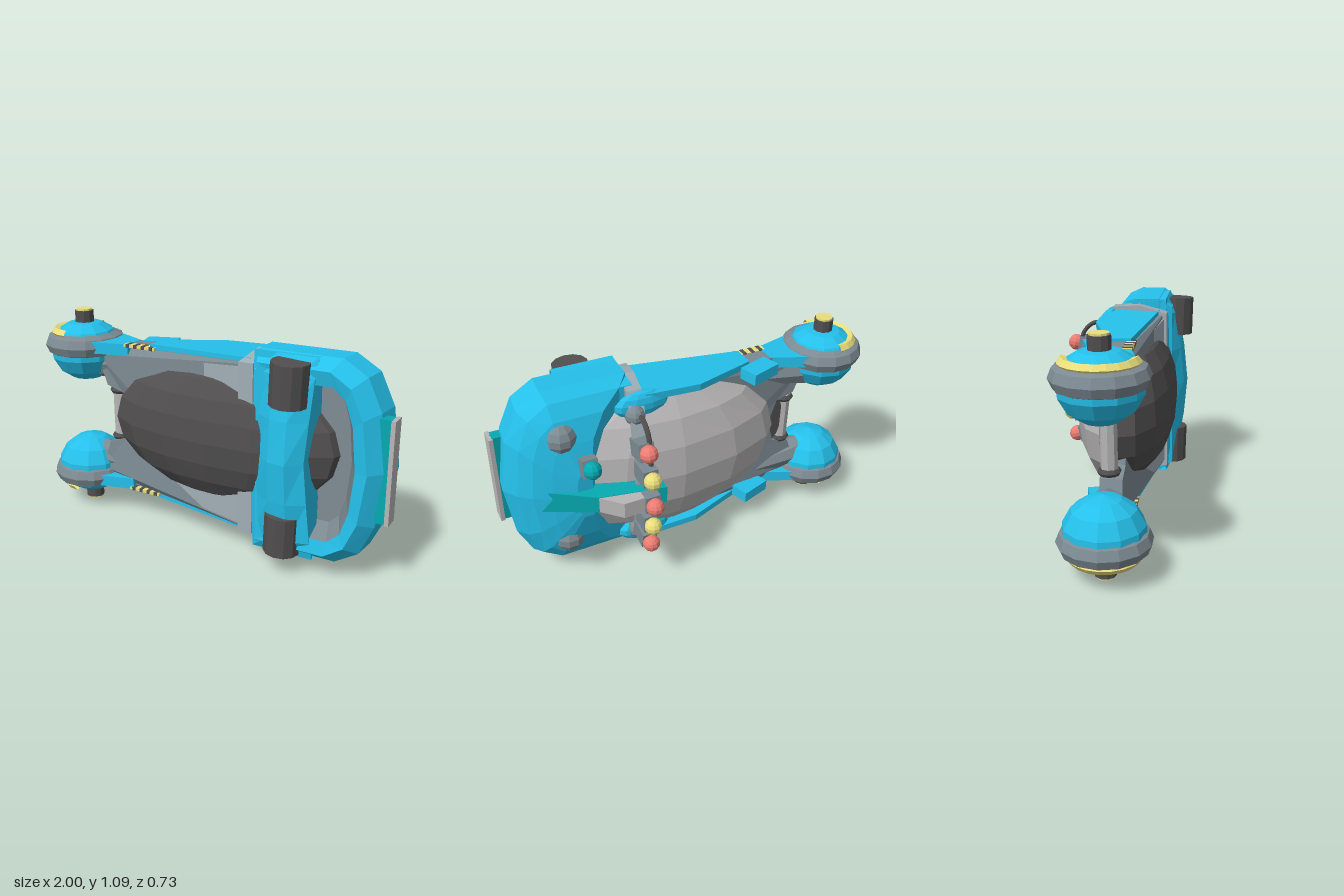
import * as THREE from 'three';

const BLUE = 0x25c0ea, TEAL = 0x05a9b0, SLATE = 0x7d8a92, PALE = 0xa0adb5, LIGHT = 0xb8b6b6;
const DARK = 0x504e4e, YELLOW = 0xeade7c, RED = 0xec7d73;

const mats = {};
function mat(color) {
  return mats[color] ??= new THREE.MeshStandardMaterial({ color, flatShading: true, side: THREE.DoubleSide });
}

export function createModel() {
  const model = new THREE.Group();

  function add(name, geo, color, pos = [0, 0, 0], rot = [0, 0, 0], parent = model) {
    const m = new THREE.Mesh(geo, mat(color));
    m.name = name;
    m.position.set(...pos);
    m.rotation.set(...rot);
    parent.add(m);
    return m;
  }
  const box = (x, y, z) => new THREE.BoxGeometry(x, y, z);
  const cyl = (r, h, n = 10, r2 = r) => new THREE.CylinderGeometry(r, r2, h, n);
  const ball = (r, w = 10, h = 7) => new THREE.SphereGeometry(r, w, h);
  const both = fn => [1, -1].forEach(fn);
  const shapeOf = pts => new THREE.Shape(pts.map(p => new THREE.Vector2(...p)));
  const extrude = (shape, depth) => new THREE.ExtrudeGeometry(shape, { depth, bevelEnabled: false });
  // slab from an (x, z) outline, thickness along y
  const slabY = (pts, t) => extrude(shapeOf(pts), t).translate(0, 0, -t / 2).rotateX(Math.PI / 2);
  // half outline with y >= 0, mirrored to a closed loop
  const mirrorY = half => [...half, ...half.filter(p => p[1] > 0).reverse().map(([a, b]) => [a, -b])];

  // skin over equal-length closed rings, with optional end cap
  function loft(rings, cap) {
    const n = rings[0].length, idx = [], pos = rings.flat(2);
    for (let r = 0; r < rings.length - 1; r++) for (let i = 0; i < n; i++) {
      const a = r * n + i, b = r * n + (i + 1) % n;
      idx.push(a, b, a + n, b, b + n, a + n);
    }
    if (cap) {
      const o = (rings.length - 1) * n;
      for (let i = 1; i < n - 1; i++) idx.push(o, o + i, o + i + 1);
    }
    const g = new THREE.BufferGeometry();
    g.setAttribute('position', new THREE.Float32BufferAttribute(pos, 3));
    g.setIndex(idx);
    g.computeVertexNormals();
    return g;
  }

  // move every vertex by a rule
  function warp(geo, fn) {
    const p = geo.attributes.position, v = new THREE.Vector3();
    for (let i = 0; i < p.count; i++) {
      fn(v.fromBufferAttribute(p, i));
      p.setXYZ(i, v.x, v.y, v.z);
    }
    geo.computeVertexNormals();
    return geo;
  }

  // chassis slab and pale front panel, thicker towards the bulky end
  const wedge = (half, lift) => warp(extrude(shapeOf(mirrorY(half)), 1), v => {
    const t = Math.max(0, v.x + 0.4);
    v.z = v.z > 0.5 ? 0.125 + lift + 0.15 * t : 0.02 - 0.06 * t;
  });
  add('chassis', wedge([[-0.46, 0], [-0.5, 0.13], [-0.6, 0.16], [-0.66, 0.32], [-0.4, 0.385], [0.36, 0.42], [0.4, 0]], 0), SLATE);
  add('frontPanel', wedge([[-0.38, 0], [-0.38, 0.35], [0.3, 0.4], [0.34, 0]], 0.012), PALE);

  // long dark hull in front, pale faceted shell behind
  add('darkHull', warp(ball(1, 16, 10), v => {
    v.set(v.x * 0.66, v.y * 0.36, v.z > 0 ? 0.285 * Math.pow(v.z, 0.72) : 0);
  }), DARK, [0.1, 0.015, 0.03]);
  add('backShell', warp(ball(1, 12, 8), v => {
    v.set(v.x * 0.61, v.y * 0.41, v.z < 0 ? -0.19 * Math.pow(-v.z, 1.25) : 0);
  }), LIGHT, [0.14, 0, 0]);

  // big blue housing: stacked outlines [z, xLeft, xRight, halfHeight]
  const half = [[0, 0.49], [0.65, 0.49], [0.83, 0.42], [0.94, 0.27], [1, 0]];
  const outline = ([z, xl, xr, h]) => mirrorY(half).map(([u, v]) => [xl + u * (xr - xl), v * h / 0.49, z]);
  add('rearHousing', loft([
    [0.255, 0.5, 0.84, 0.37], [0.27, 0.36, 0.9, 0.44], [0.2, 0.34, 0.965, 0.49],
    [0.07, 0.34, 0.98, 0.49], [0, 0.4, 0.93, 0.46], [-0.05, 0.5, 0.87, 0.39], [-0.09, 0.57, 0.79, 0.28], [-0.13, 0.6, 0.68, 0.13],
  ].map(outline), true), BLUE);
  add('openingWall', loft([[0.255, 0.5, 0.84, 0.37], [0.13, 0.5, 0.78, 0.33]].map(outline), true), SLATE);

  // arched blue band across the front, ridged along its middle: [x, peak z]
  const bandRing = ([x, peak]) => mirrorY([[0, 0.46], [0.24, 0.49], [0.24 + (peak - 0.24) * 0.5, 0.4],
    [0.24 + (peak - 0.24) * 0.82, 0.2], [peak, 0]]).map(([z, y]) => [x + (x > 0.6 ? 0.08 * Math.abs(y) : 0), y, z]);
  add('frontBand', loft([[0.36, 0.05], [0.335, 0.25], [0.45, 0.33], [0.54, 0.345], [0.61, 0.285], [0.605, 0.1]].map(bandRing)), BLUE);

  // pale hoop wrapped round the body
  const hoop = k => mirrorY([[-0.25, 0.425], [-0.1, 0.465], [0.04, 0.455], [0.11, 0.36], [0.175, 0.19], [0.2, 0]]
    .map(([a, b]) => [a * k, b * k]));
  const hoopShape = shapeOf(hoop(1));
  hoopShape.holes.push(new THREE.Path(hoop(0.9).map(p => new THREE.Vector2(...p))));
  add('hoop', warp(extrude(hoopShape, 0.075).rotateY(Math.PI / 2), v => { v.x -= v.z * 0.17; }), PALE, [0.3, 0, 0]);

  // bumper on the end
  add('bumperMount', box(0.06, 0.49, 0.06), TEAL, [0.95, 0.005, 0.18]);
  add('bumper', box(0.02, 0.49, 0.08), LIGHT, [0.985, 0.005, 0.18]);

  // spine fin
  add('finBase', warp(slabY([[0.85, -0.055], [0.6, -0.2], [0.28, -0.265], [0.28, -0.16], [0.6, -0.05]], 0.12), v => {
    if (v.z < -0.1) v.y *= 0.75;
  }), TEAL, [0, -0.02, 0]);
  add('finTop', slabY([[0.34, -0.29], [0.51, -0.29], [0.6, -0.2], [0.36, -0.2]], 0.085), LIGHT, [0, -0.02, 0]);

  // lamps on the back: [x, y, z, colour, tilt]
  [[0.37, 0.245, -0.26, RED, 0.22], [0.62, 0.19, -0.195, TEAL, 0.25], [0.37, 0.115, -0.3, YELLOW, 0],
    [0.37, -0.02, -0.325, RED, 0], [0.37, -0.16, -0.3, YELLOW, 0], [0.37, -0.29, -0.275, RED, -0.22],
  ].forEach(([x, y, z, color, tilt]) => {
    const lamp = new THREE.Group();
    lamp.name = 'lamp';
    lamp.position.set(x, y, z);
    lamp.rotation.x = tilt;
    add('lampBulb', ball(0.044), color, [0, 0, 0], [0, 0, 0], lamp);
    add('lampBox', box(0.075, 0.09, 0.11), SLATE, [0, 0, 0.075], [0, 0, 0], lamp);
    model.add(lamp);
  });
  const cable = mirrorY([[-0.08, 0.35], [-0.15, 0.36], [-0.21, 0.31], [-0.235, 0.2], [-0.235, 0]]);
  const cablePts = cable.map(([z, y]) => new THREE.Vector3(0.35, y, z));
  add('cable', new THREE.TubeGeometry(new THREE.CatmullRomCurve3(cablePts), 40, 0.013, 6), DARK);

  // crossbar between the pods
  add('crossbar', cyl(0.04, 0.3, 8), LIGHT, [-0.565, -0.005, 0.06]);

  both(s => {
    const side = s > 0 ? 'upper' : 'lower';
    add(side + 'CrossbarRing', new THREE.TorusGeometry(0.038, 0.018, 6, 10), DARK, [-0.565, -0.005 + 0.13 * s, 0.06], [Math.PI / 2, 0, 0]);

    // round pod with ring, trim and axle stub
    const pod = new THREE.Group();
    pod.name = side + 'Pod';
    pod.position.set(-0.778, 0.365 * s, 0.067);
    if (s < 0) pod.rotation.x = Math.PI;
    const prof = [[0, -0.21], [0.08, -0.19], [0.145, -0.145], [0.185, -0.075], [0.19, 0], [0.15, 0.07], [0.09, 0.105], [0, 0.115]];
    add('podBody', new THREE.LatheGeometry(prof.map(p => new THREE.Vector2(...p)), 12), BLUE, [0, 0, 0], [0, 0, 0], pod);
    add('podRing', new THREE.TorusGeometry(0.155, 0.06, 8, 14).rotateX(Math.PI / 2), SLATE, [0, 0, 0], [0, 0, 0], pod);
    add('podTrim', new THREE.TorusGeometry(0.15, 0.026, 5, 10, Math.PI).rotateZ(Math.PI / 2).rotateX(Math.PI / 2),
      YELLOW, [0, 0.062, 0], [0, 0, 0], pod);
    add('axle', cyl(0.05, 0.11), DARK, [0, 0.115, 0], [0, 0, 0], pod);
    add('axleCap', cyl(0.044, 0.012), YELLOW, [0, 0.173, 0], [0, 0, 0], pod);
    model.add(pod);

    // arm and flank panels
    add(side + 'Arm', cyl(0.05, 0.3, 8, 0.085), SLATE, [-0.54, 0.28 * s, 0.06], [0, 0, -Math.PI / 2 + 0.1 * s]);
    add(side + 'ArmPanel', slabY([[-0.64, -0.06], [-0.64, 0.2], [-0.44, 0.15], [-0.44, 0.03]], 0.06), BLUE, [0, 0.372 * s, 0]);
    add(side + 'ArmJoint', box(0.16, 0.05, 0.1), SLATE, [-0.38, 0.375 * s, 0.075]);
    add(side + 'Flank', slabY([[-0.31, 0.02], [0.02, -0.085], [0.3, -0.075], [0.3, 0.21], [-0.31, 0.135]], 0.035),
      BLUE, [0, 0.41 * s, 0], [0, 0, 0.035 * s]);
    add(side + 'FlankBlock', box(0.17, 0.06, 0.1), BLUE, [-0.345, 0.375 * s, -0.025], [0, 0.3, 0]);

    // striped warning patch
    add(side + 'StripePatch', box(0.19, 0.015, 0.045), YELLOW, [-0.365, 0.396 * s, 0.135]);
    for (let i = 0; i < 4; i++) {
      add('stripe', box(0.02, 0.018, 0.047), DARK, [-0.435 + i * 0.047, 0.396 * s, 0.135]);
    }

    // front drums, back domes and side blisters
    add(side + 'Drum', cyl(0.09, 0.2, 12), DARK, [0.515 + 0.015 * s, 0.37 * s, 0.267 + 0.016 * s], [0.03, 0, -0.05]);
    add(side + 'BackDome', ball(0.08), SLATE, [0.71, 0.3 * s, -0.035]);
    add(side + 'Blister', ball(1).scale(0.14, 0.07, 0.04), BLUE, [0.31, 0.38 * s, -0.05]);
    add(side + 'CableSocket', ball(0.05), SLATE, [0.36, 0.35 * s, -0.085]);
  });

  model.position.set(0, 0.56, 0);
  model.rotation.set(-0.02, 0, 0.018);
  const root = new THREE.Group();
  root.name = 'vehicle';
  root.add(model);
  return root;
}
